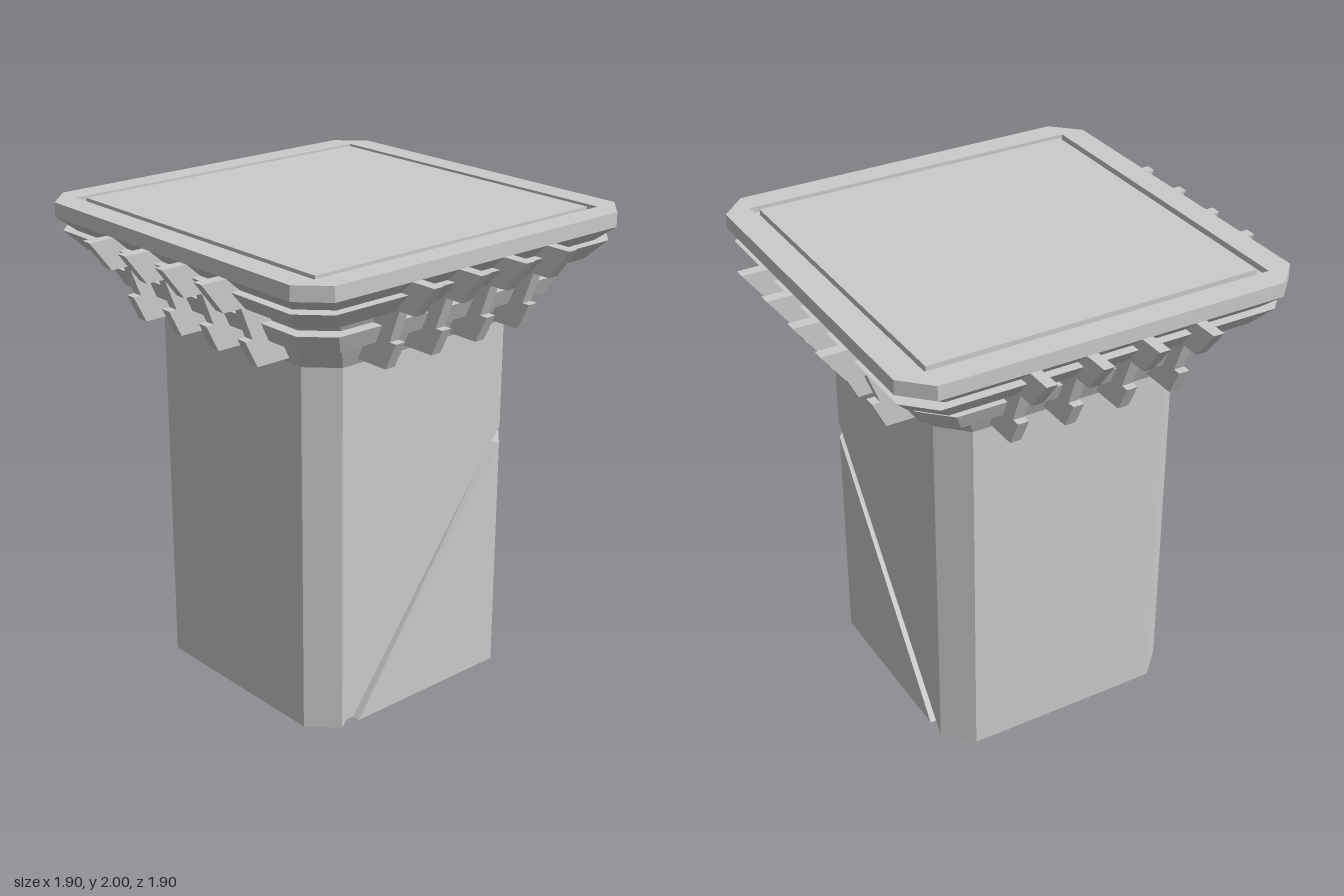
import * as THREE from 'three';

const CHAMFER = 0.11, HALF = 0.54, INSET = 0.505;
const SHAFT_TOP = 1.55, CAP_BASE = 1.94, CAP_TOP = 2;

const material = new THREE.MeshStandardMaterial({ color: 0xcccccc, flatShading: true });

function addMesh(parent, name, geometry) {
  const mesh = new THREE.Mesh(geometry, material);
  mesh.name = name;
  parent.add(mesh);
  return mesh;
}

// Corners [x, z] of a square with cut corners, running left to right as seen from outside
function octagon(h) {
  const f = h - CHAMFER;
  return [[-f, h], [f, h], [h, f], [h, -f], [f, -h], [-f, -h], [-h, -f], [-h, f]];
}

// Geometry from quads, each given as lower left, lower right, upper right, upper left
function fromQuads(quads) {
  const positions = [];
  for (const [a, b, c, d] of quads) positions.push(...a, ...b, ...c, ...a, ...c, ...d);
  const geometry = new THREE.BufferGeometry();
  geometry.setAttribute('position', new THREE.Float32BufferAttribute(positions, 3));
  geometry.computeVertexNormals();
  return geometry;
}

// Skin through cut-corner squares at [halfWidth, y]
function loft(levels) {
  const rings = levels.map(([h, y]) => octagon(h).map(([x, z]) => [x, y, z]));
  const quads = [];
  for (let i = 0; i + 1 < rings.length; i++) {
    for (let j = 0; j < 8; j++) {
      const k = (j + 1) % 8;
      quads.push([rings[i][j], rings[i][k], rings[i + 1][k], rings[i + 1][j]]);
    }
  }
  return fromQuads(quads);
}

// Plan outline [x, z], with an optional hole, raised from y0 to y1
function prism(outline, y0, y1, hole) {
  const toPoints = (list) => list.map(([x, z]) => new THREE.Vector2(x, -z));
  const shape = new THREE.Shape(toPoints(outline));
  if (hole) shape.holes.push(new THREE.Path(toPoints(hole)));
  return new THREE.ExtrudeGeometry(shape, { depth: y1 - y0, bevelEnabled: false })
    .rotateX(-Math.PI / 2).translate(0, y0, 0);
}

// Stone facing that wraps the front right corner; start is where it begins on both faces
function facing(start, low, high) {
  const f = HALF - CHAMFER, g = 0.415;
  const outer = [[start, HALF], [f, HALF], [HALF, f], [HALF, start]];
  const inner = [[start, INSET], [g, INSET], [INSET, g], [INSET, start]];
  const at = (path, i, ys) => [path[i][0], ys[i], path[i][1]];
  const quads = [];
  for (let i = 0; i < 3; i++) {
    const j = i + 1;
    const [ol, or, oh, oi] = [at(outer, i, low), at(outer, j, low), at(outer, j, high), at(outer, i, high)];
    const [il, ir, ih, ii] = [at(inner, i, low), at(inner, j, low), at(inner, j, high), at(inner, i, high)];
    quads.push([ol, or, oh, oi], [il, ir, or, ol], [oi, oh, ih, ii]);
  }
  return fromQuads(quads);
}

export function createModel() {
  const pillar = new THREE.Group();
  pillar.name = 'pillar';

  // Shaft core, set back on the two faces that carry the groove
  const f = HALF - CHAMFER;
  addMesh(pillar, 'shaftCore', prism([
    [-f, HALF], [-f, INSET], [0.415, INSET], [INSET, 0.415], [INSET, -f], [HALF, -f],
    [f, -HALF], [-f, -HALF], [-HALF, -f], [-HALF, f],
  ], 0, SHAFT_TOP));

  // Facings above and below the diagonal groove
  const top = SHAFT_TOP;
  addMesh(pillar, 'upperFacing', facing(-f, [0, 1.09, 1.09, 0], [top, top, top, top]));
  addMesh(pillar, 'lowerFacing', facing(-0.34, [0, 0, 0, 0], [0, 1.015, 1.015, 0]));

  // Flared capital with two projecting bands
  addMesh(pillar, 'capital', loft([
    [HALF, SHAFT_TOP], [0.598, 1.665], [0.65, 1.665], [0.685, 1.74], [0.635, 1.74],
    [0.645, 1.76], [0.7, 1.81], [0.755, 1.81], [0.82, 1.886], [0.78, 1.886], [0.84, CAP_BASE],
  ]));

  // Top slab: base, rim and centre panel separated by a narrow groove
  const square = (h) => [[-h, h], [h, h], [h, -h], [-h, -h]];
  const grooveFloor = CAP_TOP - 0.025;
  addMesh(pillar, 'slabBase', prism(octagon(0.84), CAP_BASE, grooveFloor));
  addMesh(pillar, 'slabRim', prism(octagon(0.84), grooveFloor, CAP_TOP, square(0.735)));
  addMesh(pillar, 'slabPanel', prism(square(0.705), grooveFloor, CAP_TOP));

  // Stepped brackets, four on each side
  const profile = [
    [0.5, 1.575], [0.705, 1.575], [0.76, 1.685], [0.725, 1.685],
    [0.775, 1.815], [0.855, 1.815], [0.95, CAP_BASE], [0.5, CAP_BASE],
  ];
  const thickness = 0.046;
  const bracket = new THREE.ExtrudeGeometry(
    new THREE.Shape(profile.map(([r, y]) => new THREE.Vector2(r, y))),
    { depth: thickness, bevelEnabled: false },
  ).translate(0, 0, -thickness / 2).rotateY(-Math.PI / 2);
  for (let side = 0; side < 4; side++) {
    const row = new THREE.Group();
    row.name = 'bracketRow';
    row.rotation.y = side * Math.PI / 2;
    for (let i = 0; i < 4; i++) {
      addMesh(row, 'bracket', bracket).position.x = -0.345 + 0.2335 * i;
    }
    pillar.add(row);
  }
  return pillar;
}
